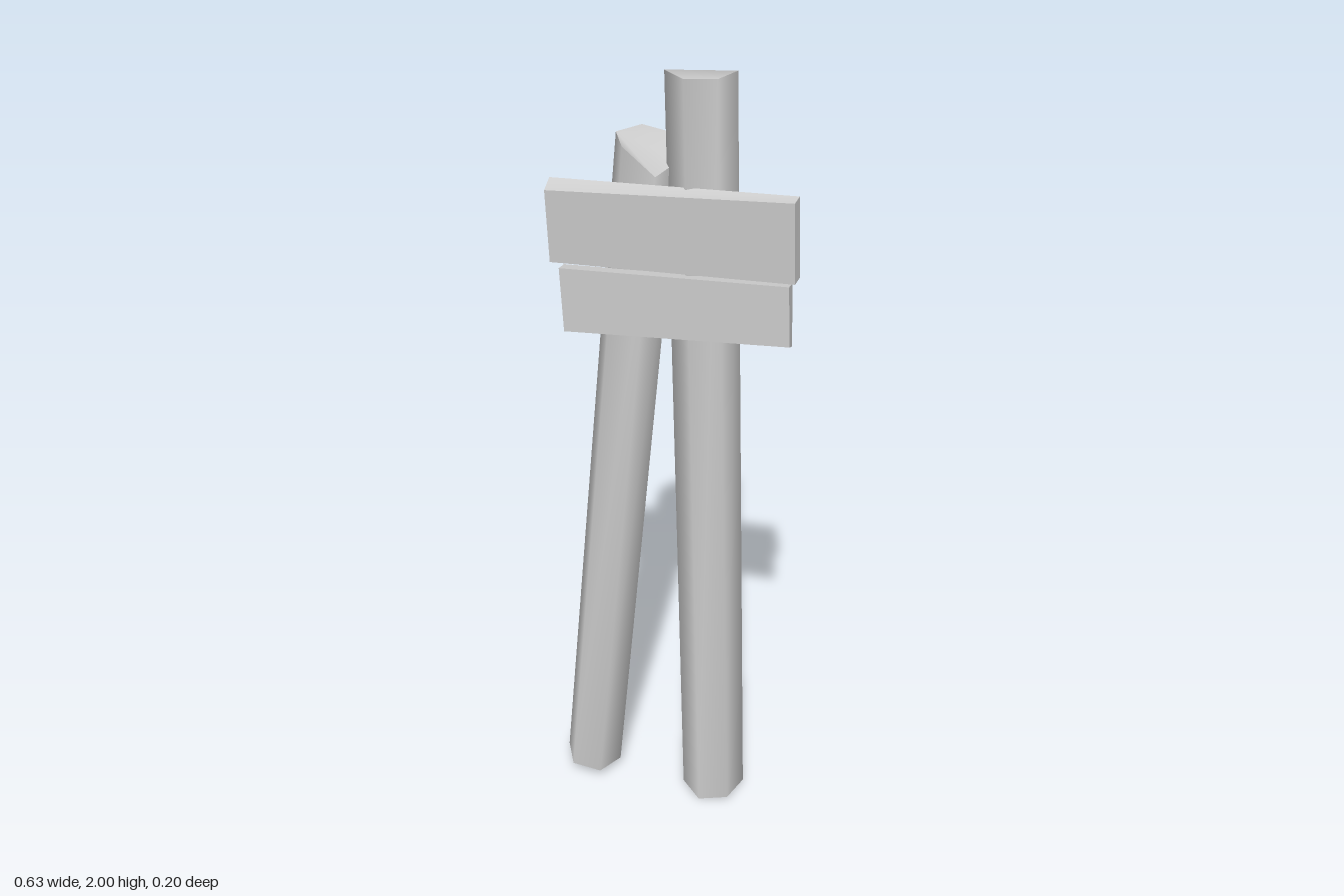
import * as THREE from 'three';

const material = () => new THREE.MeshStandardMaterial({ color: 0xcccccc, side: THREE.DoubleSide });

// Surface from corner points and triangle indices, smooth across shared corners
function surface(points, index, name) {
  const geometry = new THREE.BufferGeometry();
  geometry.setAttribute('position', new THREE.Float32BufferAttribute(points.flat(), 3));
  geometry.setIndex(index);
  geometry.computeVertexNormals();
  const mesh = new THREE.Mesh(geometry, material());
  mesh.name = name;
  return mesh;
}

// Six-sided leaning post, open below, with a rough-cut top.
// top: corners [x, y, z], counter-clockwise from above; lean: shift of the foot in x and z
function post(name, top, lean, footY) {
  const n = top.length;
  const foot = top.map(([x, , z], i) => [x + lean[0], footY[i], z + lean[1]]);
  const sides = [], cap = [];
  for (let i = 0; i < n; i++) {
    const j = (i + 1) % n;
    sides.push(i, j, n + j, i, n + j, n + i);
    if (i > 0 && i < n - 1) cap.push(0, i, i + 1);
  }
  const group = new THREE.Group();
  group.name = name;
  group.add(surface([...foot, ...top], sides, name + 'Sides'), surface(top, cap, name + 'CutTop'));
  return group;
}

// Board whose eight box corners are moved to hand-cut positions.
// Corners are ordered bottom-left, bottom-right, top-left, top-right
function board(name, front, back) {
  const geometry = new THREE.BoxGeometry(1, 1, 1);
  const p = geometry.attributes.position;
  for (let i = 0; i < p.count; i++) {
    const corner = (p.getX(i) > 0 ? 1 : 0) + (p.getY(i) > 0 ? 2 : 0);
    p.setXYZ(i, ...(p.getZ(i) > 0 ? front : back)[corner]);
  }
  geometry.computeVertexNormals();
  const mesh = new THREE.Mesh(geometry, material());
  mesh.name = name;
  return mesh;
}

export function createModel() {
  const model = new THREE.Group();
  model.name = 'signpost';

  // Tall post on the model's left
  model.add(post('tallPost', [
    [-0.03, 2, -0.005], [0.033, 2, 0.058], [0.108, 2, 0.035],
    [0.132, 2, -0.045], [0.077, 1.945, -0.102], [0.005, 1.965, -0.073],
  ], [0.064, 0.043], [0, 0, 0.006, 0.01, 0.008, 0.004]));

  // Shorter, more slanted post on the model's right
  model.add(post('shortPost', [
    [-0.155, 1.84, -0.025], [-0.115, 1.83, 0.05], [-0.035, 1.765, 0.05],
    [0, 1.785, -0.024], [-0.03, 1.825, -0.098], [-0.115, 1.84, -0.098],
  ], [-0.16, 0.044], [0.035, 0.03, 0.022, 0.02, 0.022, 0.03]));

  // Two crooked boards across the front
  model.add(board('upperBoard',
    [[-0.29, 1.54, 0.083], [0.31, 1.555, 0.083], [-0.293, 1.722, 0.093], [0.305, 1.752, 0.093]],
    [[-0.29, 1.545, 0.048], [0.313, 1.56, 0.048], [-0.293, 1.742, 0.057], [0.307, 1.757, 0.057]]));
  model.add(board('lowerBoard',
    [[-0.257, 1.367, 0.09], [0.304, 1.4, 0.09], [-0.265, 1.53, 0.09], [0.298, 1.55, 0.09]],
    [[-0.257, 1.365, 0.055], [0.302, 1.387, 0.055], [-0.265, 1.527, 0.055], [0.298, 1.547, 0.055]]));

  return model;
}
